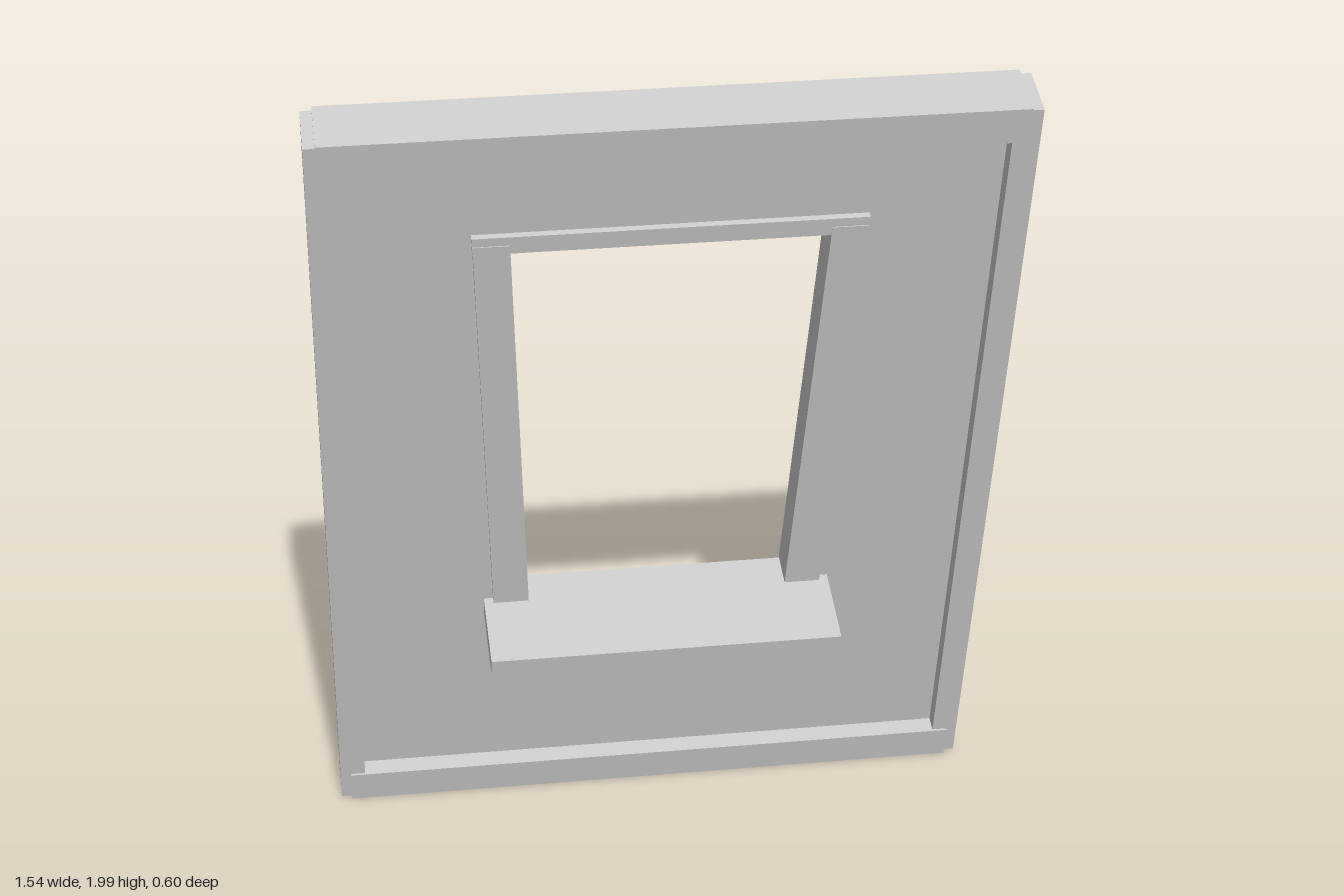
import * as THREE from 'three';

const material = new THREE.MeshStandardMaterial({ color: 0xcccccc, flatShading: true });

export function createModel() {
  const model = new THREE.Group();
  model.name = 'leaningWindowWall';

  // Everything is built upright, then leaned forward as one piece
  const wall = new THREE.Group();
  wall.name = 'wallSection';
  wall.position.y = 1.005;
  wall.rotation.x = 0.233;
  model.add(wall);

  const add = (name, geometry, x = 0, y = 0, z = 0) => {
    const mesh = new THREE.Mesh(geometry, material);
    mesh.name = name;
    mesh.position.set(x, y, z);
    wall.add(mesh);
  };
  const outline = (points) => points.map(([x, y]) => new THREE.Vector2(x, y));
  const slab = (shape, depth) =>
    new THREE.ExtrudeGeometry(shape, { depth, bevelEnabled: false }).translate(0, 0, -depth / 2);

  // Thin wall panel with a tapered window opening
  const panel = new THREE.Shape(outline([[-0.73, -0.96], [0.73, -0.96], [0.73, 0.96], [-0.73, 0.96]]));
  panel.holes.push(new THREE.Path(outline([[-0.33, -0.4], [-0.37, 0.7], [0.37, 0.7], [0.33, -0.4]])));
  add('wallPanel', slab(panel, 0.054));

  // Outer frame: stiles at the sides, slightly deeper rails across the ends
  for (const side of [-1, 1]) {
    add(side > 0 ? 'leftStile' : 'rightStile', new THREE.BoxGeometry(0.06, 2.0, 0.13), side * 0.74);
    add(side > 0 ? 'topRail' : 'bottomRail', new THREE.BoxGeometry(1.49, 0.086, 0.14), 0, side * 0.964);
  }

  // Window jambs leaning outwards towards the header
  for (const side of [-1, 1]) {
    const points = [[0.304, -0.41], [0.387, -0.41], [0.426, 0.7], [0.346, 0.7]].map(([x, y]) => [side * x, y]);
    add(side > 0 ? 'leftJamb' : 'rightJamb', slab(new THREE.Shape(outline(points)), 0.088));
  }

  // Header over the opening
  const header = new THREE.Shape(outline([[-0.426, 0.678], [0.426, 0.678], [0.428, 0.722], [-0.428, 0.722]]));
  add('windowHeader', slab(header, 0.084));

  // Deep sill, standing out at the front
  add('windowSill', new THREE.BoxGeometry(0.82, 0.047, 0.273), 0, -0.4, 0.0965);

  return model;
}
